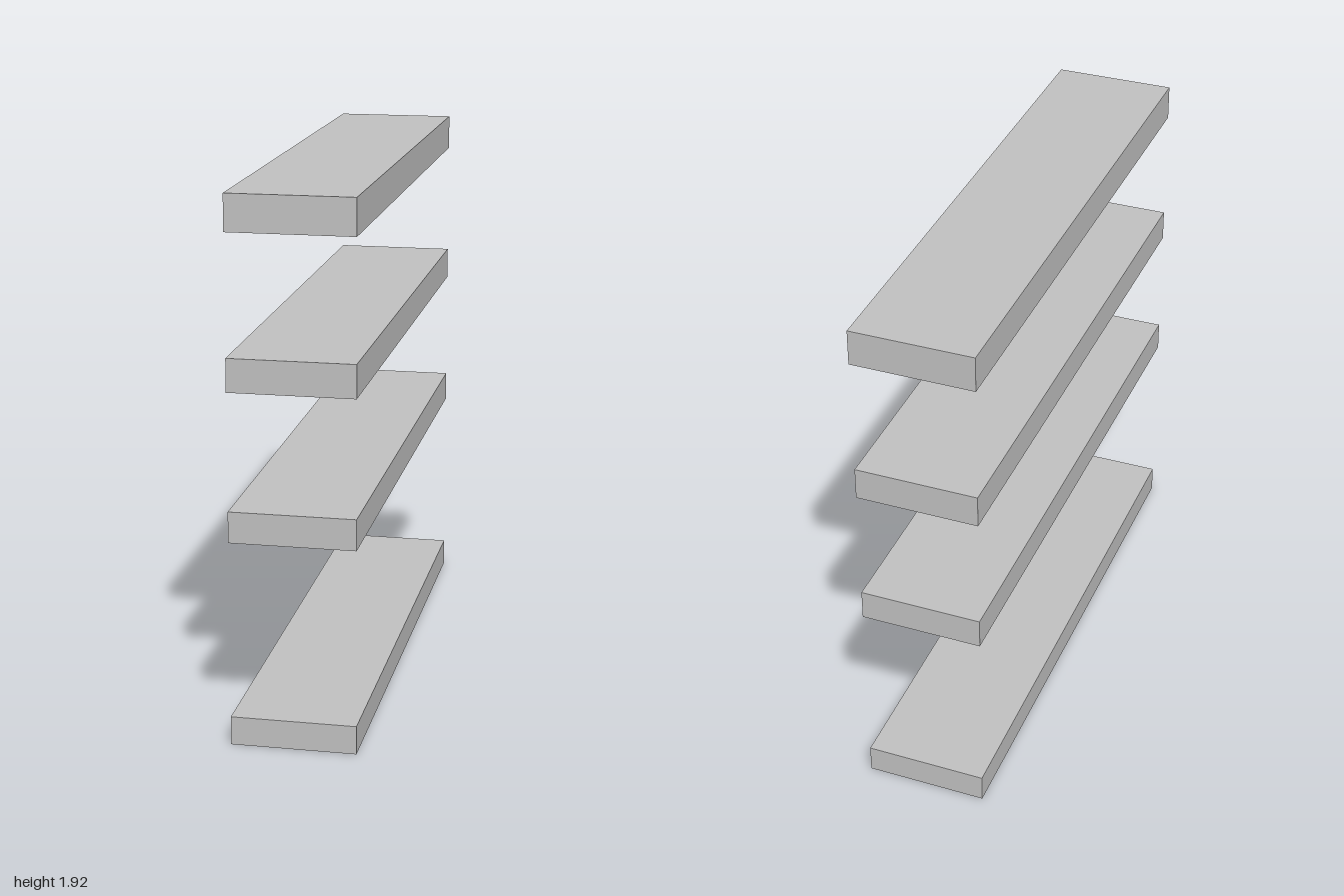
import * as THREE from 'three';

export function createModel() {
  const model = new THREE.Group();
  model.name = 'shelfBoards';
  const grey = new THREE.MeshStandardMaterial({ color: 0xc0c0c0 });
  grey.name = 'light grey';

  const width = 0.44;
  const length = 2;

  // Bottom and top height of each board, thickening upwards
  const boards = [
    ['bottomBoard', 0, 0.102],
    ['lowerMiddleBoard', 0.732, 0.842],
    ['upperMiddleBoard', 1.255, 1.372],
    ['topBoard', 1.792, 1.92],
  ];

  for (const [name, bottom, top] of boards) {
    const board = new THREE.Mesh(new THREE.BoxGeometry(width, top - bottom, length), grey);
    board.name = name;
    board.position.y = (bottom + top) / 2;
    model.add(board);
  }
  return model;
}
